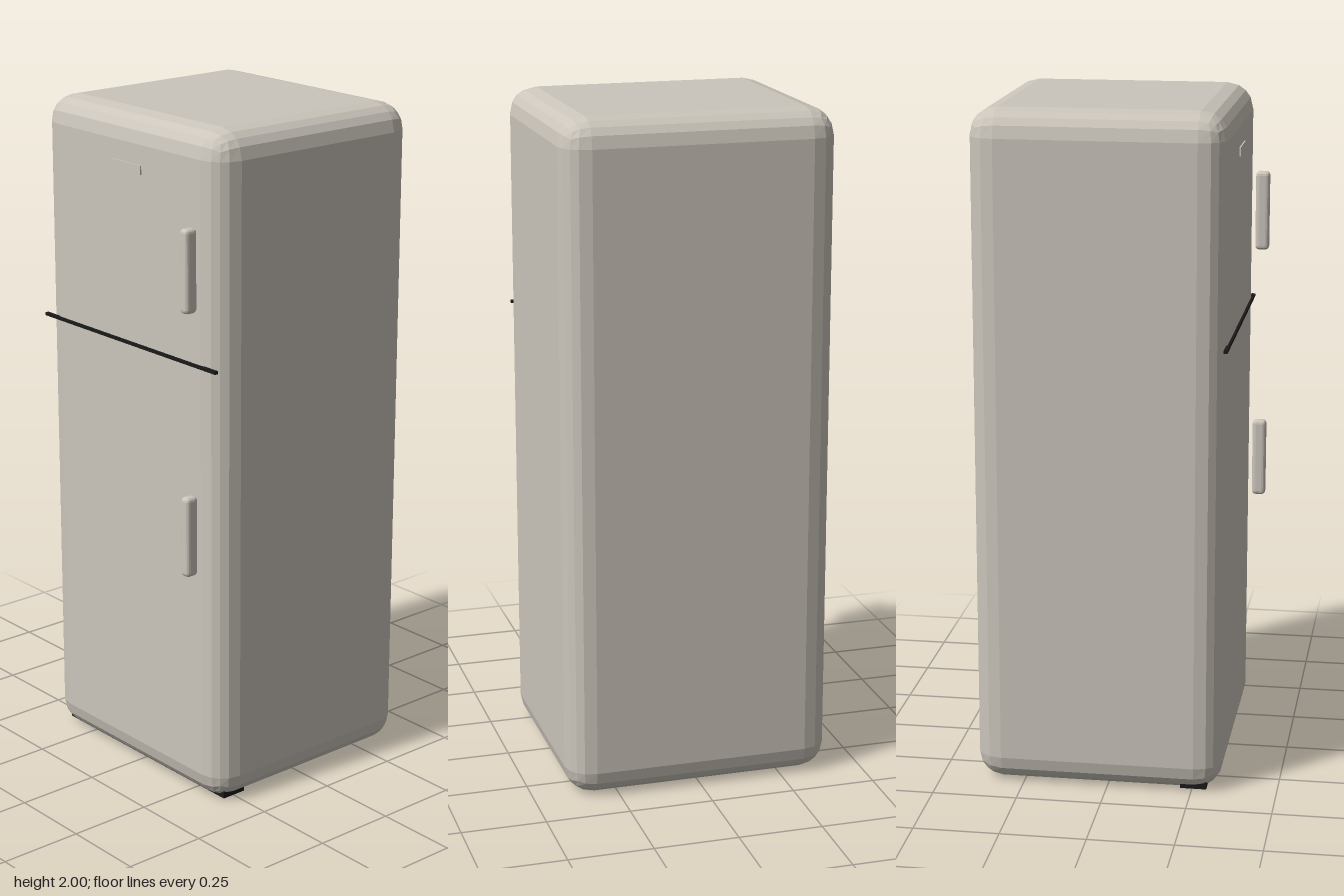
import * as THREE from 'three';
import { RoundedBoxGeometry } from 'three/addons/geometries/RoundedBoxGeometry.js';

export function createModel() {
  const group = new THREE.Group();
  const enamel = new THREE.MeshStandardMaterial({ color: 0xcbc5bb });
  enamel.name = 'warm grey enamel';
  const rubber = new THREE.MeshStandardMaterial({ color: 0x1a1a1a });
  rubber.name = 'black rubber';

  // Adds a box spanning [min, max] on each axis, with faceted rounded edges if radius > 0
  function addBox(name, material, [x0, x1], [y0, y1], [z0, z1], radius = 0) {
    const size = [x1 - x0, y1 - y0, z1 - z0];
    const geometry = radius
      ? new RoundedBoxGeometry(...size, 2, radius)
      : new THREE.BoxGeometry(...size);
    if (radius) geometry.computeVertexNormals();
    const mesh = new THREE.Mesh(geometry, material);
    mesh.name = name;
    mesh.position.set((x0 + x1) / 2, (y0 + y1) / 2, (z0 + z1) / 2);
    group.add(mesh);
  }

  // Cabinet
  addBox('cabinet', enamel, [-0.4, 0.4], [0, 2], [-0.395, 0.338], 0.08);

  // Gap between freezer and fridge doors
  addBox('doorSeam', rubber, [-0.39, 0.39], [1.331, 1.34], [0.334, 0.345]);

  // Blank name plate near the top of the freezer door
  addBox('namePlate', enamel, [-0.066, 0.066], [1.836, 1.862], [0.334, 0.342]);

  // Door handles
  for (const [name, y] of [['freezerHandle', 1.495], ['fridgeHandle', 0.718]]) {
    addBox(name, enamel, [0.293, 0.326], [y, y + 0.24], [0.351, 0.393], 0.012);
  }

  // Kick plate peeping out under the front edge
  addBox('kickPlate', rubber, [-0.37, 0.37], [0.006, 0.03], [0.216, 0.294]);

  return group;
}
